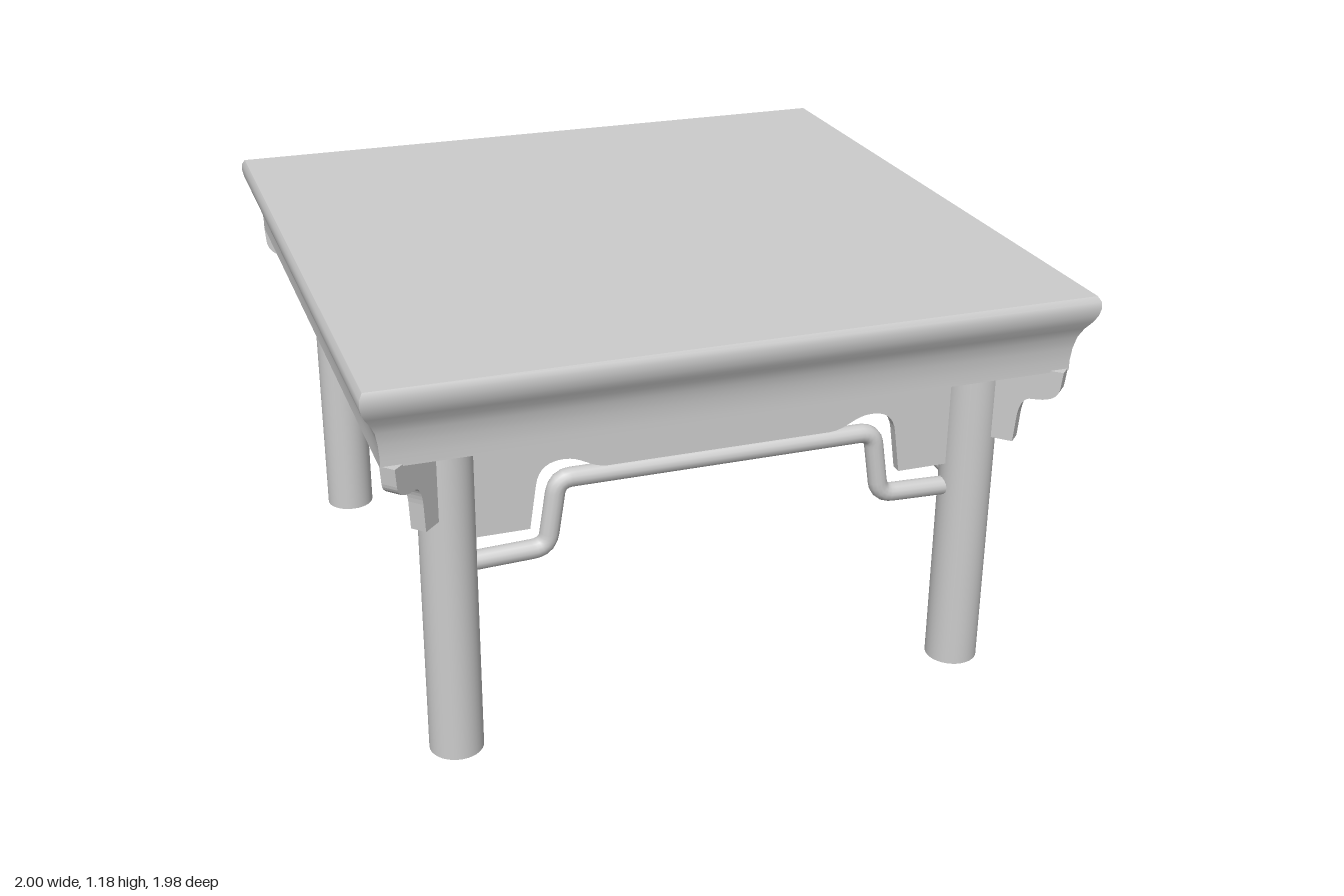
import * as THREE from 'three';
import { toCreasedNormals } from 'three/addons/utils/BufferGeometryUtils.js';

const LEG_X = 0.755, LEG_Z = 0.77, LEG_R = 0.075, UNDER = 0.955;

// Polyline with softly rounded corners
function roundedPath(points, radius) {
  const path = new THREE.CurvePath();
  const p = points.map(([x, y]) => new THREE.Vector3(x, y, 0));
  let from = p[0];
  for (let i = 1; i < p.length - 1; i++) {
    const a = p[i].clone().add(p[i - 1].clone().sub(p[i]).setLength(radius));
    const b = p[i].clone().add(p[i + 1].clone().sub(p[i]).setLength(radius));
    path.add(new THREE.LineCurve3(from, a));
    path.add(new THREE.QuadraticBezierCurve3(a, p[i], b));
    from = b;
  }
  path.add(new THREE.LineCurve3(from, p[p.length - 1]));
  return path;
}

// Square top with a moulded edge: four-sided lathe of the half-width profile
function topGeometry() {
  const profile = [
    [0, UNDER], [0.95, UNDER], [0.95, 0.985], [0.953, 1.02], [0.96, 1.055], [0.972, 1.082],
    [0.987, 1.105], [0.996, 1.125], [1, 1.145], [0.999, 1.165], [0.99, 1.18], [0, 1.182],
  ].map(([r, y]) => new THREE.Vector2(r * Math.SQRT2, y));
  const g = new THREE.LatheGeometry(profile, 4, Math.PI / 4);
  g.deleteAttribute('uv');
  g.scale(1, 1, 0.99);
  return toCreasedNormals(g, 0.6);
}

// Apron board with a stepped, scrolled lower edge; half = distance to the leg centre
function apronGeometry(half) {
  const s = new THREE.Shape();
  s.moveTo(-half, UNDER + 0.005);
  s.lineTo(-half, 0.64);
  s.lineTo(-0.535, 0.64);
  s.lineTo(-0.517, 0.765);
  s.bezierCurveTo(-0.51, 0.815, -0.48, 0.83, -0.44, 0.83);
  s.bezierCurveTo(-0.39, 0.83, -0.37, 0.795, -0.32, 0.793);
  s.lineTo(0.32, 0.793);
  s.bezierCurveTo(0.37, 0.795, 0.39, 0.83, 0.44, 0.83);
  s.bezierCurveTo(0.48, 0.83, 0.51, 0.815, 0.517, 0.765);
  s.lineTo(0.535, 0.64);
  s.lineTo(half, 0.64);
  s.lineTo(half, UNDER + 0.005);
  const g = new THREE.ExtrudeGeometry(s, { depth: 0.03, bevelEnabled: false, curveSegments: 8 });
  return g.translate(0, 0, -0.015);
}

// Humpbacked rail that steps up beneath the apron
function railGeometry(half) {
  const path = roundedPath([
    [-half, 0.563], [-0.485, 0.572], [-0.455, 0.768],
    [0.455, 0.768], [0.485, 0.572], [half, 0.563],
  ], 0.04);
  return new THREE.TubeGeometry(path, 120, 0.027, 14, false);
}

// Corner bracket; x runs outward from the leg along the diagonal
function bracketGeometry() {
  const s = new THREE.Shape();
  s.moveTo(0.05, UNDER + 0.005);
  s.lineTo(0.05, 0.73);
  s.lineTo(0.132, 0.73);
  s.lineTo(0.138, 0.81);
  s.quadraticCurveTo(0.145, 0.868, 0.175, 0.868);
  s.quadraticCurveTo(0.245, 0.87, 0.25, 0.91);
  s.lineTo(0.255, UNDER + 0.005);
  const g = new THREE.ExtrudeGeometry(s, { depth: 0.045, bevelEnabled: false, curveSegments: 8 });
  return g.translate(0, 0, -0.0225);
}

export function createModel() {
  const table = new THREE.Group();
  table.name = 'squareTable';
  const grey = new THREE.MeshStandardMaterial({ color: 0xcccccc });
  grey.name = 'light grey';

  const add = (name, geometry, parent = table) => {
    const mesh = new THREE.Mesh(geometry, grey);
    mesh.name = name;
    parent.add(mesh);
    return mesh;
  };

  add('tableTop', topGeometry());

  // Legs with a diagonal bracket at each corner
  const legHeight = UNDER + 0.005;
  const legGeo = new THREE.CylinderGeometry(LEG_R, LEG_R, legHeight, 32);
  const bracketGeo = bracketGeometry();
  for (const sx of [-1, 1]) {
    for (const sz of [-1, 1]) {
      add('leg', legGeo).position.set(sx * LEG_X, legHeight / 2, sz * LEG_Z);
      const bracket = add('cornerBracket', bracketGeo);
      bracket.position.set(sx * LEG_X, 0, sz * LEG_Z);
      bracket.rotation.y = Math.atan2(-sz, sx);
    }
  }

  // Apron and rail on each of the four sides
  ['front', 'left', 'back', 'right'].forEach((side, i) => {
    const alongX = i % 2 === 0;
    const half = alongX ? LEG_X : LEG_Z;
    const group = new THREE.Group();
    group.name = side + 'Side';
    group.rotation.y = i * Math.PI / 2;
    table.add(group);
    const out = alongX ? LEG_Z : LEG_X;
    add('apron', apronGeometry(half), group).position.z = out;
    add('rail', railGeometry(half), group).position.z = out;
  });

  return table;
}
